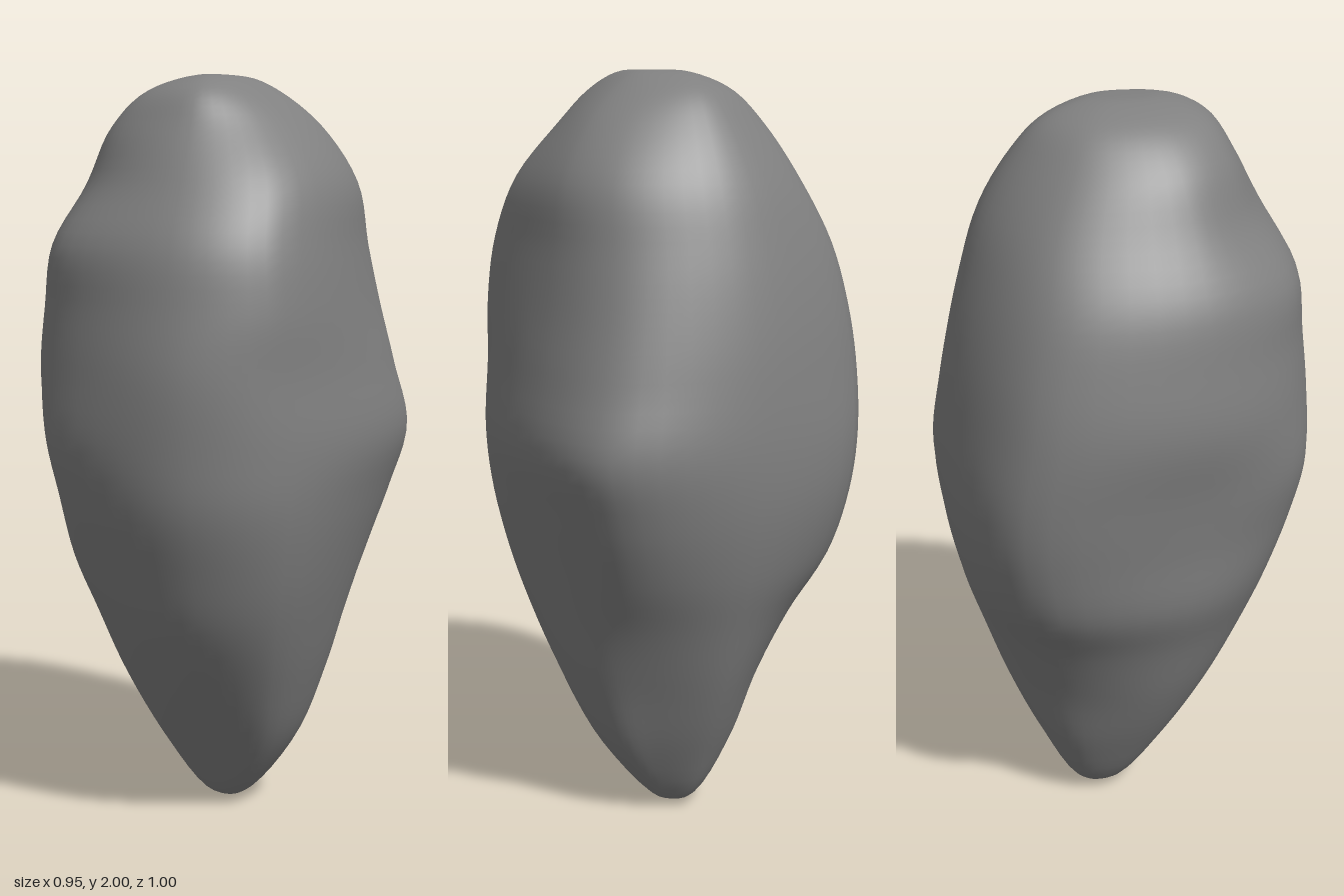
import * as THREE from 'three';
import { mergeVertices } from 'three/addons/utils/BufferGeometryUtils.js';

// Cross-sections from tip to crown:
// height, right-hand x, left-hand x, back z, front z, then corner fullness
// (+x+z, +x-z, -x-z, -x+z; 0.71 is an ellipse)
const SECTIONS = [
  [0.03, -0.055, 0.07, -0.15, -0.015, 0.74, 0.68, 0.7, 0.72],
  [0.2, -0.165, 0.2, -0.25, 0.11, 0.8, 0.66, 0.69, 0.75],
  [0.4, -0.265, 0.28, -0.34, 0.25, 0.78, 0.67, 0.65, 0.72],
  [0.58, -0.335, 0.335, -0.405, 0.36, 0.77, 0.71, 0.71, 0.7],
  [0.73, -0.395, 0.38, -0.455, 0.42, 0.76, 0.76, 0.78, 0.7],
  [0.9, -0.415, 0.43, -0.49, 0.475, 0.73, 0.8, 0.82, 0.72],
  [1.06, -0.44, 0.468, -0.5, 0.495, 0.7, 0.82, 0.82, 0.74],
  [1.24, -0.472, 0.44, -0.488, 0.503, 0.71, 0.79, 0.79, 0.7],
  [1.4, -0.46, 0.408, -0.465, 0.485, 0.75, 0.77, 0.78, 0.7],
  [1.56, -0.432, 0.382, -0.43, 0.455, 0.76, 0.75, 0.76, 0.72],
  [1.72, -0.35, 0.36, -0.38, 0.37, 0.74, 0.73, 0.74, 0.68],
  [1.86, -0.28, 0.275, -0.3, 0.28, 0.68, 0.71, 0.7, 0.73],
  [1.95, -0.19, 0.175, -0.22, 0.22, 0.66, 0.7, 0.69, 0.74],
  [1.995, -0.07, 0.09, -0.11, 0.13, 0.68, 0.7, 0.7, 0.72],
];

// Eight control points around one section
function sectionPoints([y, xl, xr, zb, zf, fpp, fpn, fnn, fnp]) {
  const cz = -0.08 * Math.max(0, 1 - y / 0.95);
  const lean = Math.min(1, xr / 0.45);
  const skew = 0.06 * lean;
  const mix = (z, f) => cz + (z - cz) * f;
  return [
    [xr, cz - 0.1 * lean], [xr * fpp, mix(zf, fpp)],
    [0.045 * lean, zf], [xl * fnp, mix(zf, fnp)],
    [xl, cz + 0.05 * lean], [xl * fnn, mix(zb, fnn)],
    [0.04 * lean, zb], [xr * (fpn + skew), mix(zb, fpn - skew)],
  ].map(([x, z]) => new THREE.Vector3(x, y, z));
}

function boulderGeometry(around = 48, up = 72) {
  const rings = SECTIONS.map((section) =>
    new THREE.CatmullRomCurve3(sectionPoints(section), true));
  const positions = [];
  const index = [];

  // One smooth curve per column, running from the tip to the crown
  for (let i = 0; i < around; i++) {
    const column = new THREE.CatmullRomCurve3([
      new THREE.Vector3(0.01, 0, -0.08),
      ...rings.map((ring) => ring.getPoint(i / around)),
      new THREE.Vector3(0.01, 2, 0.01),
    ]);
    for (let j = 0; j <= up; j++) {
      const p = column.getPoint(j / up);
      positions.push(p.x, Math.min(2, Math.max(0, p.y)), p.z);
    }
  }

  // Skin neighbouring columns, leaving single triangles at the poles
  const row = up + 1;
  for (let i = 0; i < around; i++) {
    const a = i * row;
    const b = ((i + 1) % around) * row;
    for (let j = 0; j < up; j++) {
      if (j > 0) index.push(a + j, a + j + 1, b + j);
      if (j < up - 1) index.push(b + j, a + j + 1, b + j + 1);
    }
  }

  const geometry = new THREE.BufferGeometry();
  geometry.setAttribute('position', new THREE.Float32BufferAttribute(positions, 3));
  geometry.setIndex(index);
  const welded = mergeVertices(geometry, 1e-5);
  welded.computeVertexNormals();
  return welded;
}

export function createModel() {
  const group = new THREE.Group();
  group.name = 'rock';
  const boulder = new THREE.Mesh(
    boulderGeometry(),
    new THREE.MeshStandardMaterial({ color: 0x808080 }),
  );
  boulder.name = 'boulder';
  group.add(boulder);
  return group;
}
